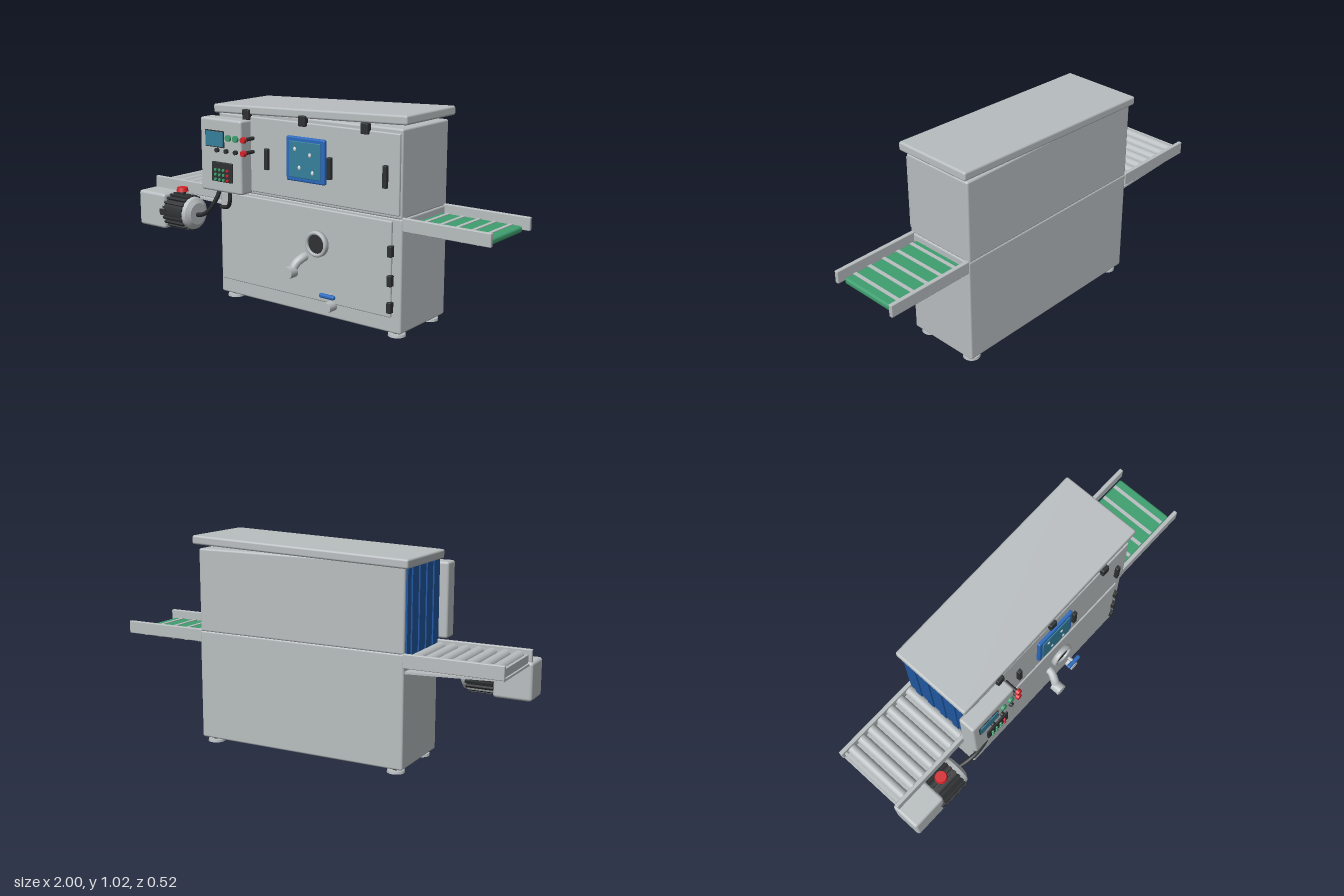
import * as THREE from 'three';
import { RoundedBoxGeometry } from 'three/addons/geometries/RoundedBoxGeometry.js';

export function createModel() {
  const root = new THREE.Group();
  root.name = 'conveyorMachine';
  const mat = (name, color) => {
    const m = new THREE.MeshStandardMaterial({ color });
    m.name = name;
    return m;
  };
  const steel = mat('steelGrey', 0xb9bec0), dark = mat('darkPlastic', 0x2e3132);
  const blue = mat('blue', 0x2a69bd), teal = mat('tealGlass', 0x35809c);
  const green = mat('beltGreen', 0x3f9f70), red = mat('red', 0xd4232a);
  const curtainBlue = mat('curtainBlue', 0x1f57a0), light = mat('lightSpot', 0xdadfe0);

  const add = (name, geo, m, x = 0, y = 0, z = 0) => {
    const mesh = new THREE.Mesh(geo, m);
    mesh.name = name;
    mesh.position.set(x, y, z);
    root.add(mesh);
    return mesh;
  };
  // Box given by its limits, with softened edges when r > 0
  const box = (name, m, x0, x1, y0, y1, z0, z1, r = 0) => {
    const s = [x1 - x0, y1 - y0, z1 - z0];
    const geo = r ? new RoundedBoxGeometry(...s, 3, r) : new THREE.BoxGeometry(...s);
    return add(name, geo, m, (x0 + x1) / 2, (y0 + y1) / 2, (z0 + z1) / 2);
  };
  // Cylinder centred at a point along a chosen axis
  const cyl = (name, m, r, len, axis, x, y, z, r2 = r) => {
    const geo = new THREE.CylinderGeometry(r2, r, len, 28);
    if (axis === 'x') geo.rotateZ(-Math.PI / 2);
    if (axis === 'z') geo.rotateX(Math.PI / 2);
    return add(name, geo, m, x, y, z);
  };
  const tube = (name, m, r, pts) => add(name, new THREE.TubeGeometry(
    new THREE.CatmullRomCurve3(pts.map(p => new THREE.Vector3(...p))), 32, r, 14), m);

  // Cabinet, doors and sloping roof
  box('lowerCabinet', steel, -0.525, 0.56, 0.025, 0.562, -0.24, 0.14, 0.01);
  box('upperCabinet', steel, -0.525, 0.557, 0.558, 0.962, -0.24, 0.14, 0.01);
  box('lowerDoor', steel, -0.508, 0.512, 0.1, 0.548, 0.13, 0.152, 0.006);
  box('upperDoor', steel, -0.5, 0.55, 0.575, 0.942, 0.13, 0.152, 0.006);
  const roof = box('roof', steel, -0.545, 0.585, 0.961, 1.004, -0.255, 0.155, 0.01);
  roof.rotation.z = 0.037;

  // Levelling feet
  for (const x of [-0.473, 0.51]) for (const z of [0.09, -0.19]) {
    cyl('footPad', steel, 0.042, 0.012, 'y', x, 0.006, z, 0.04);
    cyl('footStem', dark, 0.016, 0.02, 'y', x, 0.02, z);
  }

  // Strip curtain over the inlet
  for (let i = 0; i < 9; i++) {
    const z = -0.225 + i * 0.039;
    const out = i % 2 ? 0.006 : 0;
    box('curtainStrip', curtainBlue, -0.534 - out, -0.524 - out, 0.55, 0.945, z, z + 0.037);
  }

  // Inlet roller conveyor
  for (const z of [-0.245, 0.113]) {
    box('inletRail', steel, -0.99, -0.52, 0.5, 0.565, z, z + 0.02, 0.004);
  }
  const tray = box('inletTray', steel, -0.985, -0.51, 0.482, 0.492, -0.23, 0.12);
  tray.rotation.z = -0.045;
  box('inletEndBar', steel, -0.975, -0.962, 0.495, 0.54, -0.23, 0.12);
  for (let i = 0; i < 7; i++) {
    cyl('roller', steel, 0.025, 0.335, 'z', -0.93 + i * 0.063, 0.53, -0.056);
  }

  // Outlet belt conveyor with cross slats
  for (const z of [-0.237, 0.115]) {
    box('outletRail', steel, 0.55, 0.997, 0.505, 0.567, z, z + 0.02, 0.004);
  }
  box('belt', green, 0.55, 0.97, 0.497, 0.528, -0.208, 0.107, 0.012);
  for (let i = 0; i < 5; i++) {
    const x = 0.592 + i * 0.081;
    box('beltSlat', steel, x - 0.009, x + 0.009, 0.495, 0.531, -0.203, 0.102);
  }

  // Drive motor, gearbox and emergency button
  box('gearbox', steel, -1, -0.815, 0.325, 0.507, 0.1, 0.248, 0.015);
  cyl('motorBody', dark, 0.08, 0.135, 'x', -0.752, 0.415, 0.172);
  for (let i = 0; i < 20; i++) {
    const a = i / 20 * Math.PI * 2;
    const fin = box('motorFin', dark, -0.82, -0.688, -0.006, 0.006, -0.008, 0.008);
    fin.position.set(-0.752, 0.415 + Math.sin(a) * 0.083, 0.172 + Math.cos(a) * 0.083);
    fin.rotation.x = -a;
  }
  box('motorTerminal', dark, -0.84, -0.8, 0.4, 0.43, 0.235, 0.258);
  cyl('motorCap', steel, 0.083, 0.022, 'x', -0.677, 0.415, 0.172, 0.08);
  cyl('motorCapEnd', steel, 0.08, 0.016, 'x', -0.658, 0.415, 0.172, 0.055);
  cyl('emergencyStem', dark, 0.018, 0.03, 'y', -0.755, 0.508, 0.175);
  cyl('emergencyButton', red, 0.031, 0.02, 'y', -0.755, 0.53, 0.175, 0.026);

  // Control box with screen, buttons and keypad
  box('controlBox', steel, -0.57, -0.306, 0.565, 0.926, 0.14, 0.225, 0.012);
  box('screenFrame', dark, -0.534, -0.412, 0.786, 0.868, 0.222, 0.228);
  box('screen', teal, -0.529, -0.417, 0.791, 0.863, 0.225, 0.232);
  for (const x of [-0.382, -0.335]) cyl('greenButton', green, 0.016, 0.015, 'z', x, 0.838, 0.23);
  for (const y of [0.838, 0.773]) {
    cyl('redButton', red, 0.016, 0.016, 'z', -0.286, y, 0.231, 0.014);
    cyl('redButtonStem', dark, 0.009, 0.07, 'z', -0.288, y, 0.19);
  }
  for (const x of [-0.455, -0.395, -0.335]) cyl('knob', dark, 0.011, 0.016, 'z', x, 0.773, 0.231);
  box('keypad', dark, -0.492, -0.358, 0.618, 0.716, 0.222, 0.234, 0.005);
  for (let r = 0; r < 3; r++) for (let c = 0; c < 4; c++) {
    cyl('key', c === 3 ? red : green, 0.007, 0.008, 'z',
      -0.464 + c * 0.026, 0.678 - r * 0.024, 0.236);
  }

  // Cables from the control box
  tube('motorCable', dark, 0.011, [[-0.47, 0.57, 0.2], [-0.49, 0.52, 0.207],
    [-0.55, 0.45, 0.203], [-0.61, 0.42, 0.19], [-0.66, 0.41, 0.175]]);
  tube('cabinetCable', dark, 0.01, [[-0.408, 0.57, 0.195], [-0.415, 0.52, 0.19],
    [-0.445, 0.483, 0.17], [-0.52, 0.465, 0.14]]);

  // Inspection window with droplets
  box('windowFrame', blue, -0.075, 0.151, 0.664, 0.875, 0.145, 0.168, 0.008);
  box('windowGlass', teal, -0.054, 0.13, 0.684, 0.855, 0.164, 0.173, 0.003);
  for (const [x, y] of [[-0.018, 0.818], [0.07, 0.797], [0.008, 0.732], [0.085, 0.715]]) {
    const drop = add('droplet', new THREE.SphereGeometry(0.009, 12, 8), light, x, y, 0.173);
    drop.scale.set(0.9, 1.2, 0.5);
  }

  // Door handles, roof latches and lower hinges
  for (const x of [-0.2, 0.175, 0.481]) {
    box('handle', dark, x - 0.011, x + 0.011, 0.695, 0.798, 0.148, 0.17, 0.004);
  }
  for (const x of [-0.325, 0.018, 0.37]) {
    box('roofLatch', dark, x - 0.02, x + 0.02, 0.925, 0.975, 0.14, 0.17, 0.005);
  }
  for (const y of [0.412, 0.275, 0.15]) {
    box('hinge', dark, 0.5, 0.523, y - 0.026, y + 0.026, 0.14, 0.168, 0.004);
  }

  // Porthole
  const ring = [[0.046, 0], [0.063, 0], [0.063, 0.02], [0.058, 0.027], [0.05, 0.027], [0.046, 0.022], [0.046, 0]];
  const ringGeo = new THREE.LatheGeometry(ring.map(p => new THREE.Vector2(...p)), 36);
  ringGeo.rotateX(Math.PI / 2);
  add('portholeRing', ringGeo, steel, 0.102, 0.38, 0.15);
  cyl('portholeGlass', dark, 0.047, 0.012, 'z', 0.102, 0.38, 0.16);

  // Outlet pipe and drain valve
  tube('outletPipe', steel, 0.021, [[0.025, 0.305, 0.14], [0.022, 0.3, 0.17],
    [0.01, 0.28, 0.2], [0, 0.242, 0.222]]);
  cyl('outletNozzle', steel, 0.029, 0.05, 'z', 0, 0.241, 0.235);
  cyl('drainPipe', steel, 0.025, 0.06, 'z', 0.182, 0.09, 0.165);
  cyl('drainValveStem', steel, 0.008, 0.05, 'z', 0.182, 0.145, 0.165);
  box('drainHandle', blue, 0.138, 0.226, 0.134, 0.155, 0.175, 0.197, 0.009);

  return root;
}
